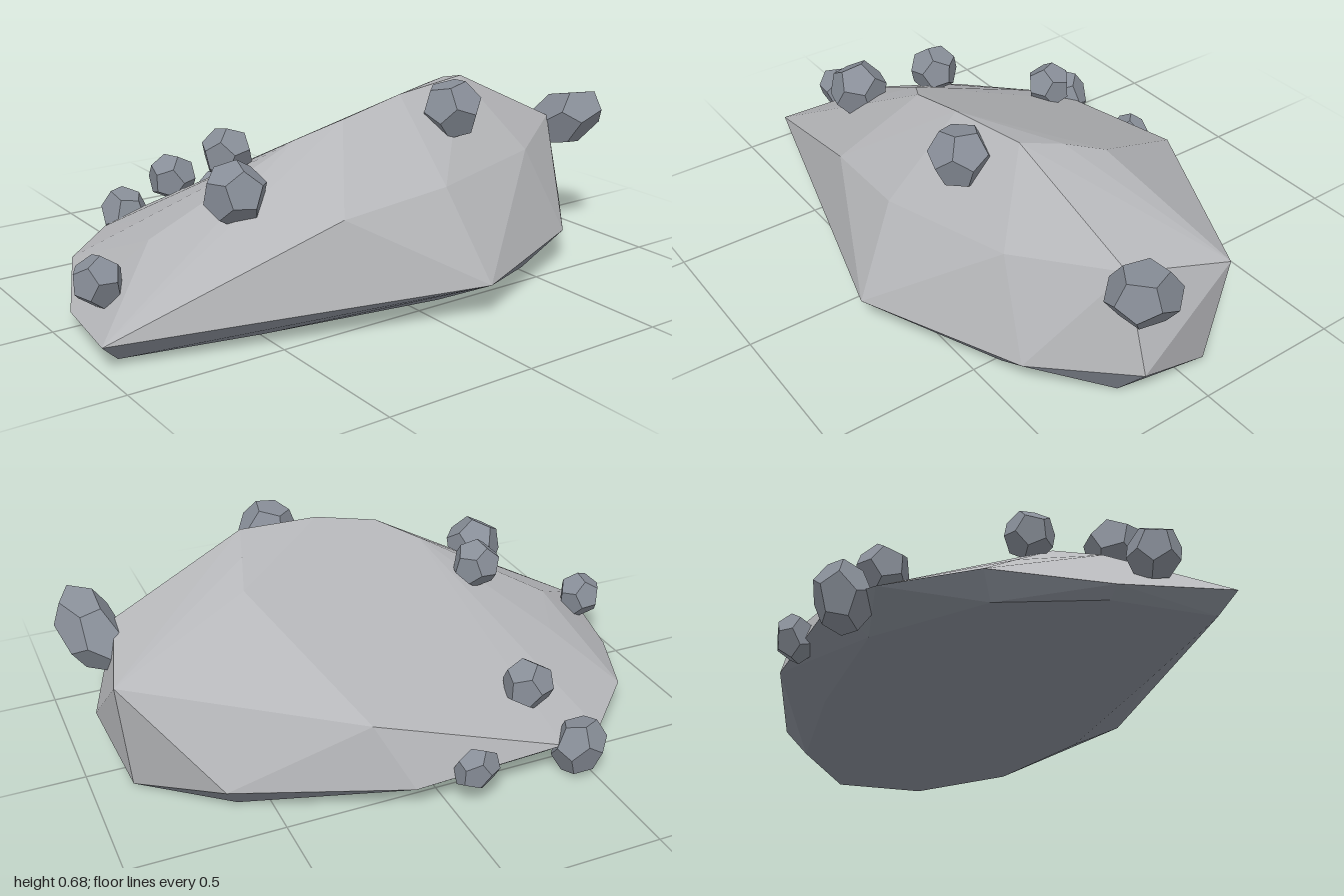
import * as THREE from 'three';
import { ConvexGeometry } from 'three/addons/geometries/ConvexGeometry.js';

const points = list => list.map(p => new THREE.Vector3(...p));

export function createModel() {
  const rock = new THREE.Group();
  rock.name = 'boulder';
  const stone = new THREE.MeshStandardMaterial({ color: 0xb6b7ba, flatShading: true });
  stone.name = 'pale stone';
  const slate = new THREE.MeshStandardMaterial({ color: 0x888e98, flatShading: true });
  slate.name = 'blue grey slate';

  // Crest and upper facets of the boulder
  const crest = [
    [0.37, 0.66, 0.235], [0.09, 0.64, 0.27], [-0.13, 0.59, 0.27], [-0.26, 0.53, 0.2],
    [0.41, 0.625, 0.1], [0.45, 0.575, -0.03], [0.82, 0.45, 0.19], [0.905, 0.39, -0.135],
    [0.52, 0.42, 0.4], [0.08, 0.4, 0.52], [-0.28, 0.355, 0.49],
    [-0.72, 0.27, 0.1], [-0.62, 0.25, -0.13], [0.22, 0.3, -0.51],
  ];
  // Widest outline, just above the ground
  const rim = [
    [-1, 0.085, 0.35], [0.14, 0.115, 0.675], [0.67, 0.12, 0.445], [0.915, 0.12, 0.18],
    [0.65, 0.1, -0.39], [0.11, 0.09, -0.59], [-0.4, 0.12, -0.6], [-0.57, 0.1, -0.54],
    [-0.79, 0.1, -0.32], [-0.94, 0.055, 0],
  ];
  // Flat underside
  const base = [
    [-0.94, 0.025, 0.32], [-0.5, 0.01, 0.38], [0.1, 0.008, 0.47], [0.52, 0.008, 0.41],
    [0.82, 0.008, 0.2], [0.87, 0.008, -0.1], [0.6, 0.012, -0.33], [0.1, 0.015, -0.44],
    [-0.4, 0.025, -0.49], [-0.75, 0.025, -0.28], [-0.9, 0.025, 0],
  ];
  // Facets that lean downwards are slate, the rest pale stone
  const shape = new ConvexGeometry(points([...crest, ...rim, ...base]));
  const normals = shape.getAttribute('normal');
  for (let i = 0; i < normals.count; i += 3) {
    shape.addGroup(i, 3, normals.getY(i) < -0.2 ? 1 : 0);
  }
  const body = new THREE.Mesh(shape, [stone, slate]);
  body.name = 'boulderBody';
  rock.add(body);

  // Pebbles: position, radius along each axis, rotation
  const pebbles = [
    [[0.235, 0.59, 0.355], [0.1, 0.1, 0.1], [0.4, 0.2, 0.1]],
    [[0.9, 0.43, 0.195], [0.1, 0.1, 0.165], [-0.58, 0.25, 0]],
    [[-0.52, 0.425, 0.275], [0.1, 0.1, 0.1], [0.6, 0.3, 0.4]],
    [[-0.91, 0.195, 0.145], [0.08, 0.085, 0.08], [0.2, 0.5, 0.3]],
    [[-0.405, 0.475, 0.035], [0.084, 0.084, 0.084], [0.1, 0.7, 0.5]],
    [[-0.355, 0.268, -0.435], [0.085, 0.085, 0.085], [0.5, 0.9, 0.2]],
    [[-0.46, 0.102, -0.595], [0.088, 0.11, 0.085], [-0.4, 0.4, 0.2]],
    [[-0.085, 0.125, -0.608], [0.078, 0.078, 0.06], [-0.3, 0.1, 0.6]],
  ];
  const pebbleShape = new THREE.DodecahedronGeometry(1);
  pebbles.forEach(([position, size, turn], i) => {
    const pebble = new THREE.Mesh(pebbleShape, slate);
    pebble.name = `pebble${i + 1}`;
    pebble.position.set(...position);
    pebble.scale.set(...size);
    pebble.rotation.set(...turn);
    rock.add(pebble);
  });
  return rock;
}
